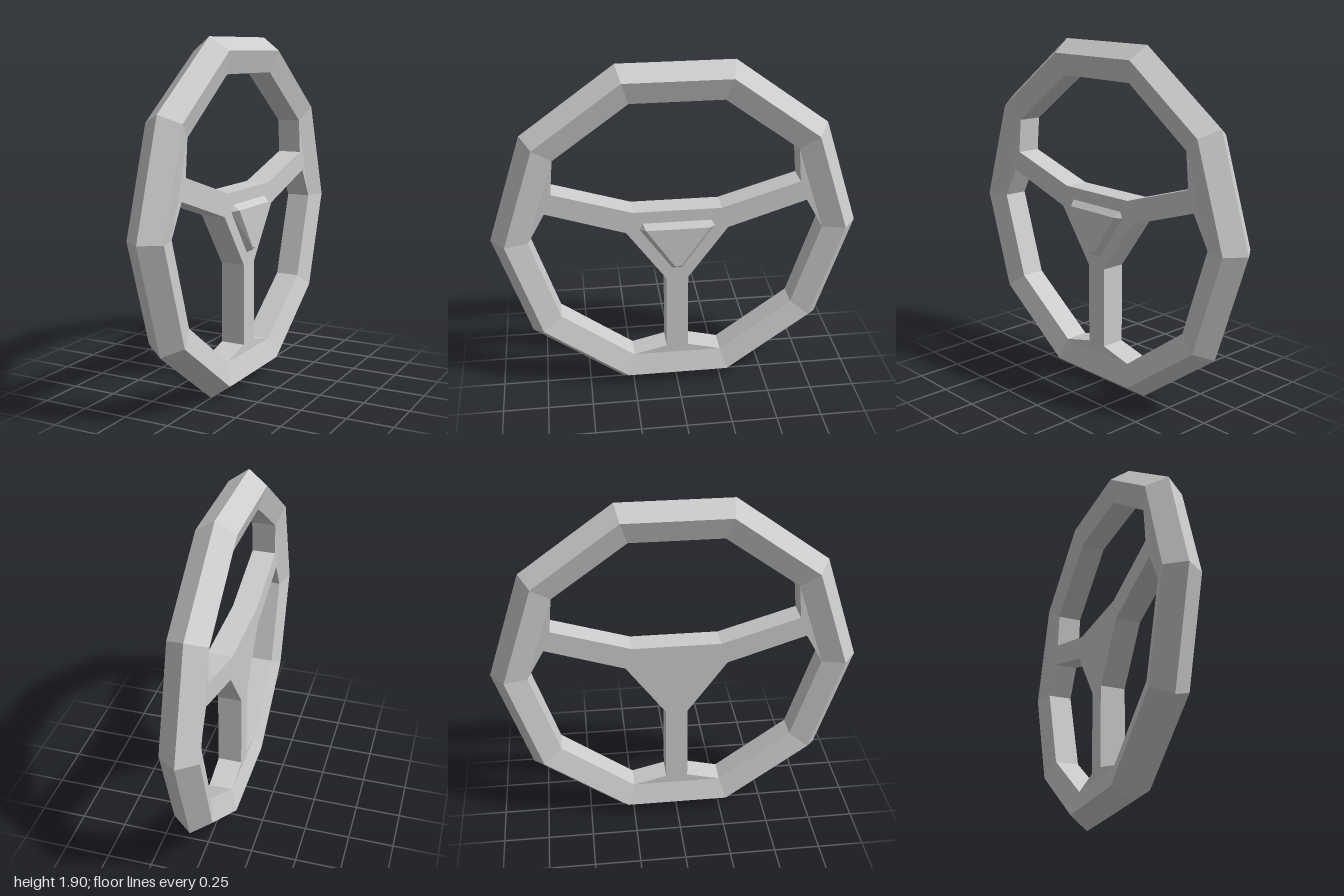
import * as THREE from 'three';
import { ConvexGeometry } from 'three/addons/geometries/ConvexGeometry.js';

const CENTER_Y = 0.951;
const HALF = 0.068; // half thickness of the spokes and of the rim's inner edge

export function createModel() {
  const group = new THREE.Group();
  const material = new THREE.MeshStandardMaterial({ color: 0xcccccc, flatShading: true });
  const add = (name, geometry) => {
    const mesh = new THREE.Mesh(geometry, material);
    mesh.name = name;
    mesh.position.y = CENTER_Y;
    group.add(mesh);
  };

  // Ten-sided rim: a five-sided section swept around the x axis
  const section = [[0.8, -HALF], [0.925, -0.103], [1, 0], [0.925, 0.103], [0.8, HALF], [0.8, -HALF]];
  const rim = new THREE.LatheGeometry(section.map(([r, x]) => new THREE.Vector2(r, x)), 10);
  rim.rotateZ(-Math.PI / 2);
  add('rim', rim);

  // Hub with three spokes that flare into the rim: half outline, mirrored
  const half = [
    [0.24, 0.149], [0.665, 0.28], [0.647, 0.47], [0.8, 0], [0.705, 0.169],
    [0.277, 0.03], [0.061, -0.267], [0.061, -0.715], [0.247, -0.761],
  ];
  const outline = [...half, ...half.map(([z, y]) => [-z, y]).reverse()];
  const spokes = new THREE.ExtrudeGeometry(
    new THREE.Shape(outline.map(([z, y]) => new THREE.Vector2(z, y))),
    { depth: 2 * HALF, bevelEnabled: false }
  );
  spokes.translate(0, 0, -HALF).rotateY(Math.PI / 2);
  add('hubAndSpokes', spokes);

  // Raised triangular pad on the +x side, with sloping edges
  const layers = [
    [HALF - 0.01, [[0.187, 0.081], [0.204, 0.046], [0.028, -0.201]]],
    [HALF, [[0.187, 0.081], [0.204, 0.046], [0.028, -0.201]]],
    [0.1, [[0.172, 0.051], [0.016, -0.177]]],
  ];
  const points = [];
  for (const [x, corners] of layers)
    for (const [z, y] of corners)
      points.push(new THREE.Vector3(x, y, z), new THREE.Vector3(x, y, -z));
  add('hornPad', new ConvexGeometry(points));

  return group;
}
